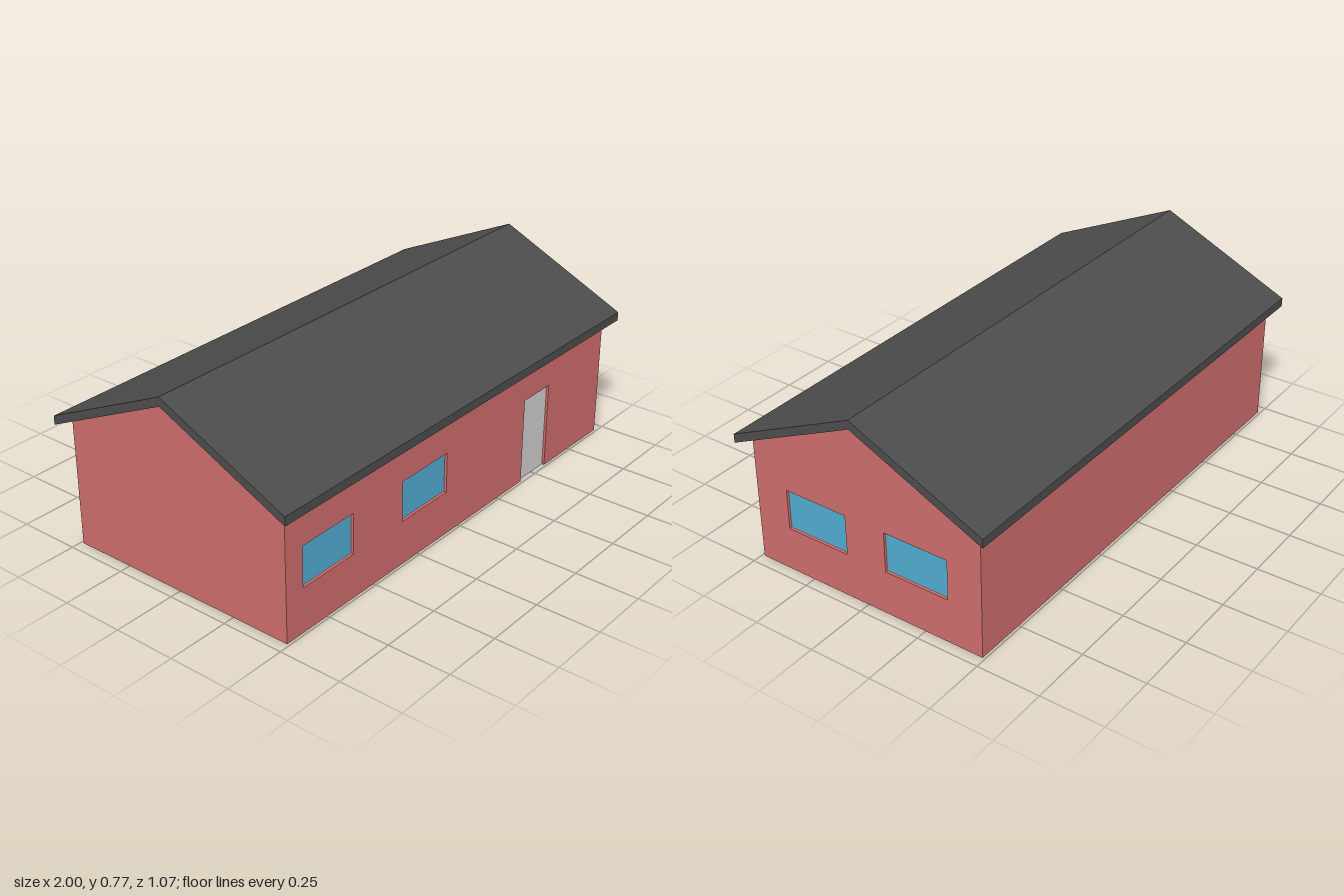
import * as THREE from 'three';

const X = 0.955, Z = 0.49;      // wall half sizes
const RECESS = 0.015;           // depth of window and door openings
const RIDGE = 0.735, SLOPE = 0.245 / 0.533;
const under = z => RIDGE - Math.abs(z) * SLOPE; // roof underside height

const mat = (name, color) => {
  const m = new THREE.MeshStandardMaterial({ color });
  m.name = name;
  return m;
};

const polygon = pts => new THREE.Shape(pts.map(p => new THREE.Vector2(...p)));

const extrude = (shape, depth) =>
  new THREE.ExtrudeGeometry(shape, { depth, bevelEnabled: false });

const opening = ([x0, x1, y0, y1]) => new THREE.Path(
  [[x0, y0], [x0, y1], [x1, y1], [x1, y0]].map(p => new THREE.Vector2(...p)));

export function createModel() {
  const group = new THREE.Group();
  const brick = mat('red wall', 0xcd6c6c);
  const slate = mat('dark roof', 0x4c4c4c);
  const glass = mat('blue glass', 0x50aad0);
  const pale = mat('pale paint', 0xcdcdcd);

  const add = (name, geometry, material, parent = group) => {
    const mesh = new THREE.Mesh(geometry, material);
    mesh.name = name;
    parent.add(mesh);
    return mesh;
  };

  // Gable outline between two z values; the profile's u axis is -z
  const gable = (front, back) => polygon([
    [-front, 0], [back, 0], [back, under(back)], [0, RIDGE], [-front, under(front)]]);

  // Window pane with a slim pale surround, set in the back of an opening
  const addWindow = (parent, [x0, x1, y0, y1]) => {
    const cx = (x0 + x1) / 2, cy = (y0 + y1) / 2, w = x1 - x0, h = y1 - y0;
    add('windowFrame', new THREE.BoxGeometry(w, h, 0.004), pale, parent)
      .position.set(cx, cy, 0.002);
    add('windowPane', new THREE.BoxGeometry(w - 0.008, h - 0.008, 0.004), glass, parent)
      .position.set(cx, cy, 0.004);
  };

  // House core, behind the two walls that have openings
  const core = add('houseBody', extrude(gable(Z - RECESS, Z), 2 * X - RECESS), brick);
  core.rotation.y = Math.PI / 2;
  core.position.x = -X;

  // Front wall with two windows and a door notch
  const frontWindows = [[-0.87, -0.61, 0.177, 0.338], [-0.34, -0.08, 0.177, 0.338]];
  const frontSide = new THREE.Group();
  frontSide.name = 'frontSide';
  frontSide.position.z = Z - RECESS;
  group.add(frontSide);
  const top = under(Z);
  const frontShape = polygon([
    [-X, 0], [0.415, 0], [0.415, 0.35], [0.58, 0.35], [0.58, 0], [X, 0], [X, top], [-X, top]]);
  frontShape.holes = frontWindows.map(opening);
  add('frontWall', extrude(frontShape, RECESS), brick, frontSide);
  frontWindows.forEach(w => addWindow(frontSide, w));
  add('door', new THREE.BoxGeometry(0.165, 0.35, 0.005), pale, frontSide)
    .position.set(0.4975, 0.175, 0.0025);

  // Gable end wall with two windows
  const endWindows = [[-0.35, -0.085, 0.177, 0.338], [0.085, 0.35, 0.177, 0.338]];
  const endSide = new THREE.Group();
  endSide.name = 'gableEnd';
  endSide.rotation.y = Math.PI / 2;
  endSide.position.x = X - RECESS;
  group.add(endSide);
  const endShape = gable(Z - RECESS, Z);
  endShape.holes = endWindows.map(opening);
  add('gableWall', extrude(endShape, RECESS), brick, endSide);
  endWindows.forEach(w => addWindow(endSide, w));

  // Pitched roof as one chevron with upright eave edges
  const roof = add('roof', extrude(polygon([
    [-0.533, 0.49], [0, RIDGE], [0.533, 0.49],
    [0.533, 0.525], [0, 0.77], [-0.533, 0.525]]), 2), slate);
  roof.rotation.y = Math.PI / 2;
  roof.position.x = -1;

  return group;
}
